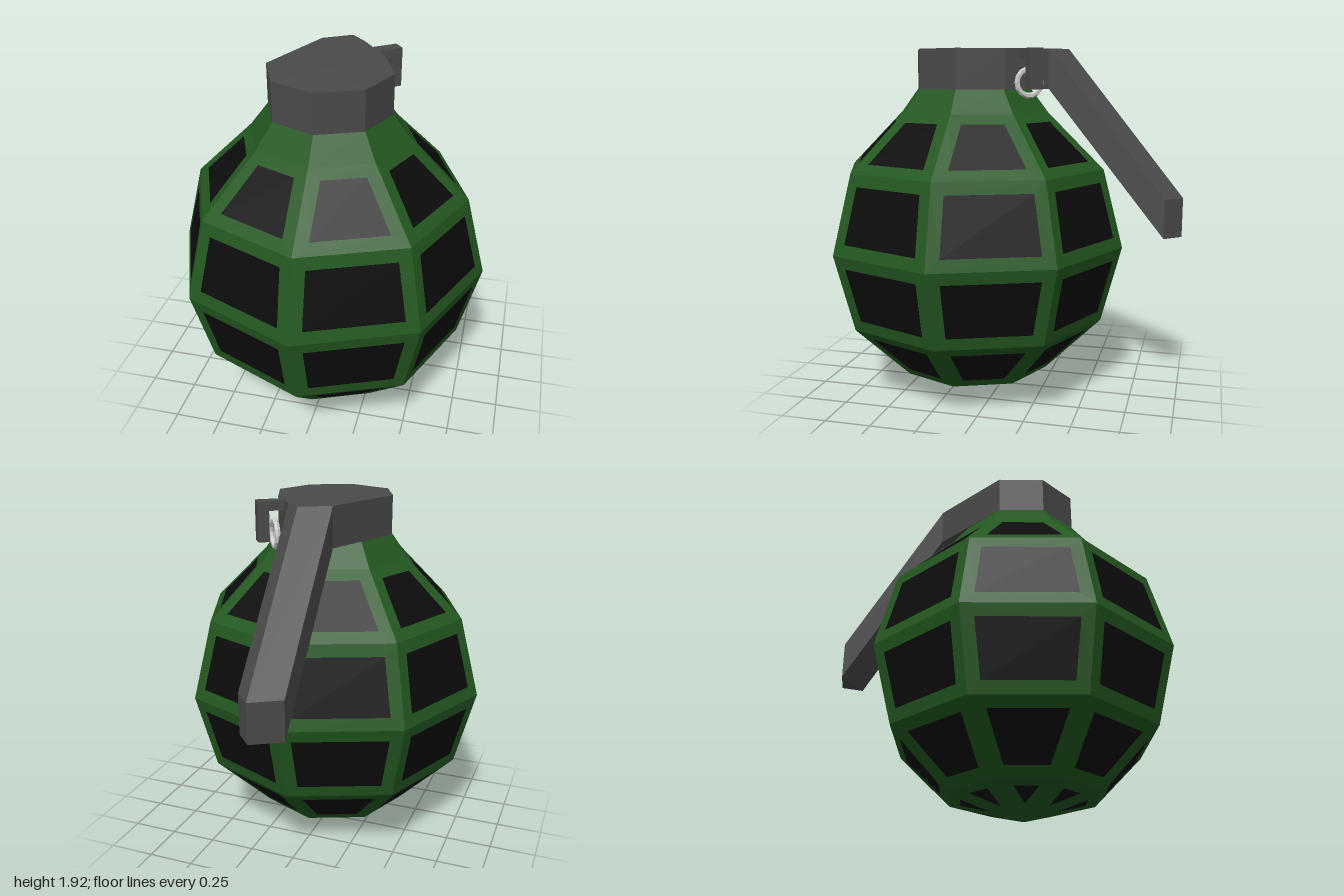
import * as THREE from 'three';
import { ConvexGeometry } from 'three/addons/geometries/ConvexGeometry.js';

const mat = (color) => new THREE.MeshStandardMaterial({ color, flatShading: true });
const green = mat(0x235820), black = mat(0x0c0c0c), steel = mat(0x4a4a4a), bright = mat(0xcccccc);
const V = (x, y, z) => new THREE.Vector3(x, y, z);

function add(parent, name, geometry, material) {
  const mesh = new THREE.Mesh(geometry, material);
  mesh.name = name;
  parent.add(mesh);
  return mesh;
}

// Flat-shaded geometry from convex polygons, each split as a fan
function fromPolygons(polygons) {
  const points = [];
  for (const p of polygons) {
    for (let i = 1; i < p.length - 1; i++) points.push(p[0], p[i], p[i + 1]);
  }
  const g = new THREE.BufferGeometry().setFromPoints(points);
  g.computeVertexNormals();
  return g;
}

// Shrink a flat convex polygon by a constant distance d from every edge
function inset(poly, d) {
  const n = poly.length;
  return poly.map((p, i) => {
    const a = poly[(i + 1) % n].clone().sub(p).normalize();
    const b = poly[(i + n - 1) % n].clone().sub(p).normalize();
    const sin = a.clone().cross(b).length();
    return p.clone().add(a.add(b).multiplyScalar(d / sin));
  });
}

// Polygons bridging two loops with the same number of points
const bridge = (lower, upper) => lower.map((p, i) => {
  const j = (i + 1) % lower.length;
  return [p, lower[j], upper[j], upper[i]];
});

const SIDES = 8, CZ = 0.155;

function buildBody() {
  const body = new THREE.Group();
  body.name = 'body';
  const profile = [[0, 0], [0.42, 0.12], [0.73, 0.425], [0.84, 0.845], [0.73, 1.27], [0.42, 1.575], [0.325, 1.7]];
  const at = ([r, y], k) => {
    const a = (k / SIDES) * Math.PI * 2;
    return V(r * Math.cos(a), y, CZ - r * Math.sin(a));
  };
  const frames = [], panels = [];
  for (let row = 0; row < profile.length - 1; row++) {
    const lo = profile[row], hi = profile[row + 1];
    for (let k = 0; k < SIDES; k++) {
      const facet = [at(lo, k), at(lo, k + 1), at(hi, k + 1), at(hi, k)];
      if (row === 0) facet.shift(); // triangles at the bottom tip
      if (row === profile.length - 2) { // plain neck
        frames.push(facet);
        continue;
      }
      const panel = inset(facet, 0.066);
      panels.push(panel);
      frames.push(...bridge(facet, panel));
    }
  }
  add(body, 'shellRibs', fromPolygons(frames), green);
  add(body, 'shellPanels', fromPolygons(panels), black);
  return body;
}

// Cap: octagonal in front, drawn out to a point at the back, slightly domed
function buildCap() {
  const plan = [
    [0.325, 0.155], [0.23, -0.085], [0.085, -0.285], [0, -0.375], [-0.15, -0.285],
    [-0.23, -0.085], [-0.325, 0.155], [-0.23, 0.385], [0, 0.48], [0.23, 0.385],
  ];
  const bottom = plan.map(([x, z]) => V(x, 1.7, z));
  const top = plan.map(([x, z]) => V(x, 1.91, z));
  const peak = V(0, 1.92, CZ);
  const dome = top.map((p, i) => [p, top[(i + 1) % top.length], peak]);
  return fromPolygons([...bridge(bottom, top), ...dome, [...bottom].reverse()]);
}

// Lever: a triangular block swept backwards and down
function buildLever() {
  const points = [];
  for (const [dy, dz] of [[0, 0], [-0.78, -0.625]]) {
    for (const y of [1.7, 1.91]) {
      for (const [x, z] of [[0.085, -0.285], [0, -0.375], [-0.15, -0.285]]) points.push(V(x, y + dy, z + dz));
    }
  }
  return new ConvexGeometry(points);
}

// Hooked bracket holding the pull ring, set square to the cap's slanted side
function buildPin() {
  const pin = new THREE.Group();
  pin.name = 'pin';
  pin.position.set(0.164, 1.7, -0.177);
  pin.rotation.y = Math.atan2(0.6, 0.8);
  add(pin, 'bracketArm', new THREE.BoxGeometry(0.1, 0.05, 0.073), steel).position.set(0.03, 0.184, 0);
  add(pin, 'bracketLeg', new THREE.BoxGeometry(0.058, 0.209, 0.073), steel).position.set(0.109, 0.1045, 0);
  const ring = add(pin, 'pullRing', new THREE.TorusGeometry(0.068, 0.015, 6, 14), bright);
  ring.position.set(0.045, 0.035, 0);
  ring.rotation.y = Math.PI / 2;
  return pin;
}

export function createModel() {
  const model = new THREE.Group();
  model.name = 'grenade';
  model.add(buildBody());
  add(model, 'cap', buildCap(), steel);
  add(model, 'lever', buildLever(), steel);
  model.add(buildPin());
  return model;
}
